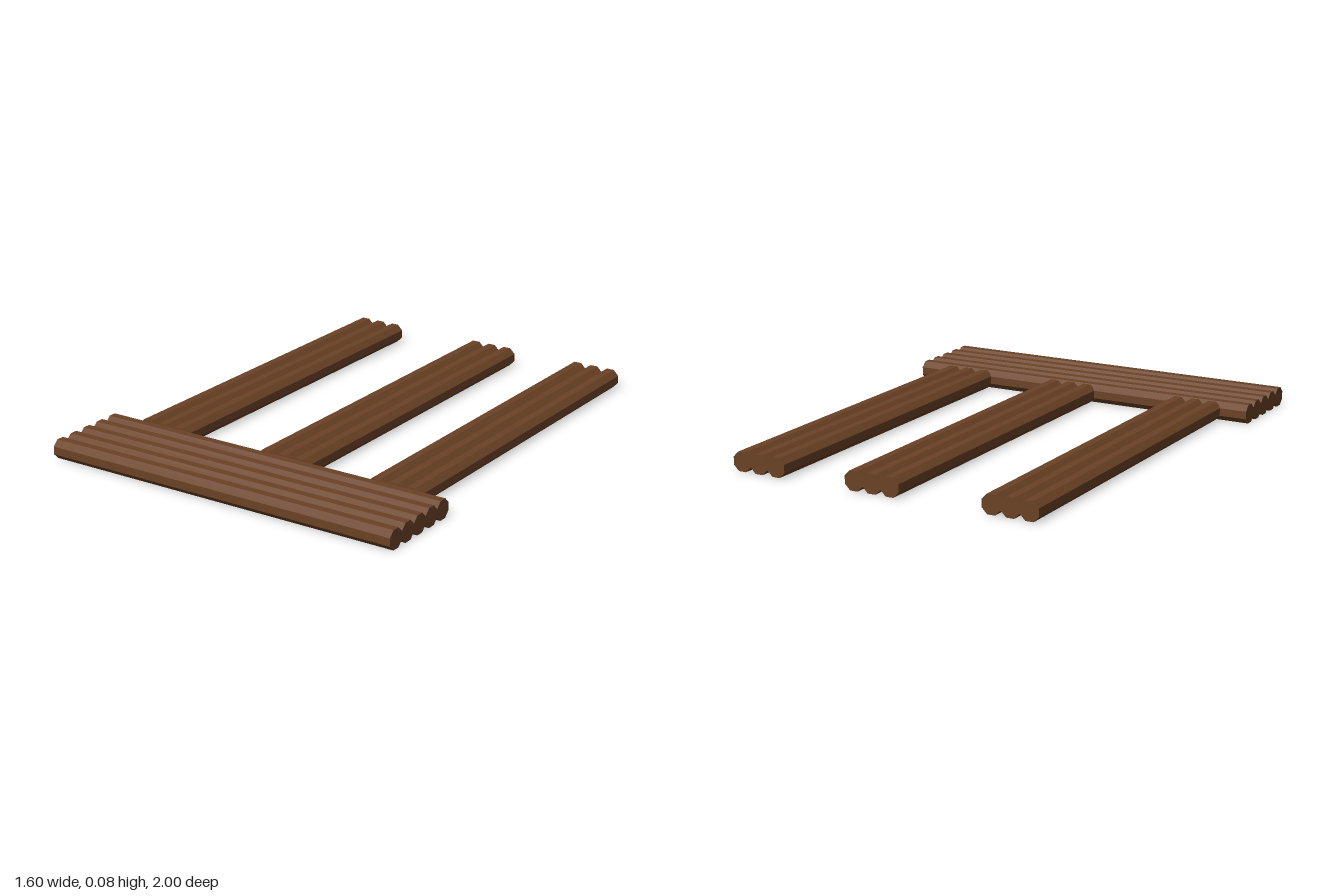
import * as THREE from 'three';

const LOG = 0.08; // log thickness across the flats

// Octagonal log along z with flat sides facing up, down, left and right
function logGeometry(length) {
  const radius = LOG / 2 / Math.cos(Math.PI / 8);
  const geometry = new THREE.CylinderGeometry(radius, radius, length, 8, 1, false, Math.PI / 8)
    .rotateX(Math.PI / 2)
    .toNonIndexed();
  geometry.computeVertexNormals(); // crisp facets
  return geometry;
}

// Row of touching logs, side by side along x and centred on its origin
function logRow(name, count, length, material) {
  const row = new THREE.Group();
  row.name = name;
  const geometry = logGeometry(length);
  for (let i = 0; i < count; i++) {
    const log = new THREE.Mesh(geometry, material);
    log.name = 'log';
    log.position.x = (i - (count - 1) / 2) * LOG;
    row.add(log);
  }
  return row;
}

export function createModel() {
  const model = new THREE.Group();
  model.name = 'logDock';
  const wood = new THREE.MeshStandardMaterial({ color: 0x6b4226 });
  wood.name = 'brown wood';

  // Wide walkway across the front
  const walkway = logRow('walkway', 5, 1.6, wood);
  walkway.rotation.y = Math.PI / 2;
  walkway.position.set(0, LOG / 2, 0.8);
  model.add(walkway);

  // Three narrow jetties running back, tucked slightly into the walkway
  const back = -1, front = 0.61;
  const jetties = [['rightJetty', -0.56], ['middleJetty', 0.04], ['leftJetty', 0.56]];
  for (const [name, x] of jetties) {
    const jetty = logRow(name, 3, front - back, wood);
    jetty.position.set(x, LOG / 2, (front + back) / 2);
    model.add(jetty);
  }
  return model;
}
